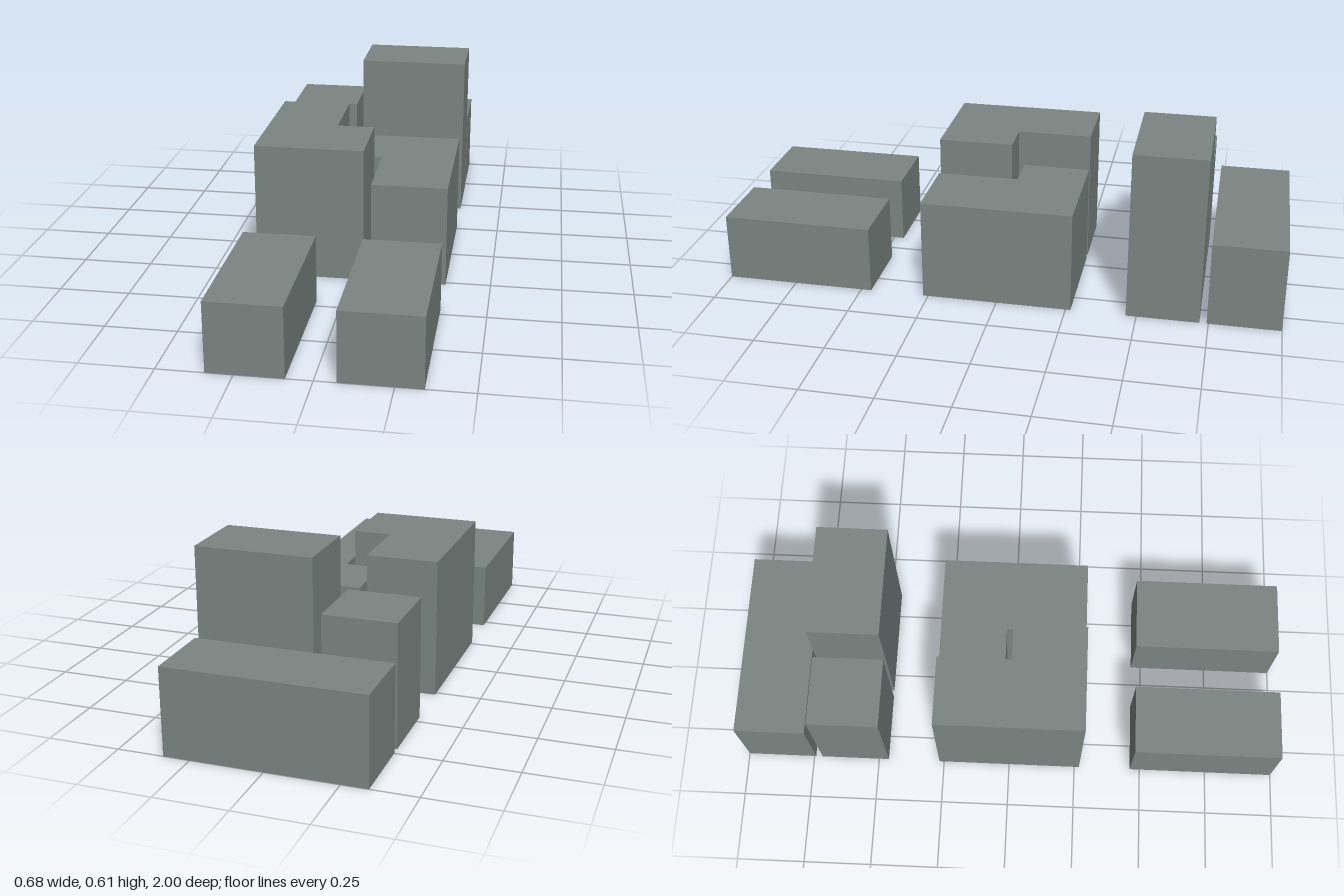
import * as THREE from 'three';

const slate = new THREE.MeshStandardMaterial({ color: 0x7b8582, side: THREE.DoubleSide });
slate.name = 'slate grey';

// Drops the downward-facing triangles, leaving a hollow shell open at the ground
function openBottom(geometry) {
  const p = geometry.attributes.position;
  const kept = [];
  for (let i = 0; i < p.count; i += 3) {
    if ([0, 1, 2].every((k) => p.getY(i + k) < 1e-5)) continue;
    for (let k = 0; k < 3; k++) kept.push(p.getX(i + k), p.getY(i + k), p.getZ(i + k));
  }
  const shell = new THREE.BufferGeometry();
  shell.setAttribute('position', new THREE.Float32BufferAttribute(kept, 3));
  shell.computeVertexNormals();
  return shell;
}

// Raises a ground plan, given as [x, z] corners, to a height
function block(name, height, plan) {
  const shape = new THREE.Shape(plan.map(([x, z]) => new THREE.Vector2(x, -z)));
  const solid = new THREE.ExtrudeGeometry(shape, { depth: height, bevelEnabled: false });
  solid.rotateX(-Math.PI / 2);
  const mesh = new THREE.Mesh(openBottom(solid), slate);
  mesh.name = name;
  return mesh;
}

const rect = (x0, x1, z0, z1) => [[x0, z0], [x0, z1], [x1, z1], [x1, z0]];

export function createModel() {
  const group = new THREE.Group();
  group.name = 'cityBlocks';
  const storey = 0.061;
  const W = 0.341; // half width of the site

  group.add(
    // Low pair at the front
    block('frontRightBlock', 4 * storey, rect(-W, -0.088, 0.463, 1)),
    block('frontLeftBlock', 4 * storey, rect(0.073, W, 0.463, 1)),
    // Interlocking L-shaped pair in the middle
    block('middleRightBlock', 8 * storey,
      [[-W, -0.268], [-W, 0.268], [0.047, 0.268], [0.047, 0], [-0.088, 0], [-0.088, -0.268]]),
    block('middleLeftBlock', 6 * storey,
      [[-0.062, -0.268], [-0.062, -0.025], [0.073, -0.025], [0.073, 0.268], [W, 0.268], [W, -0.268]]),
    // Towers and the long block at the back
    block('smallTower', 7 * storey, rect(-W, -0.088, -0.719, -0.463)),
    block('tallTower', 10 * storey, rect(-0.062, W, -0.719, -0.463)),
    block('backBlock', 5 * storey, rect(-W, W, -1, -0.744)),
  );
  return group;
}
